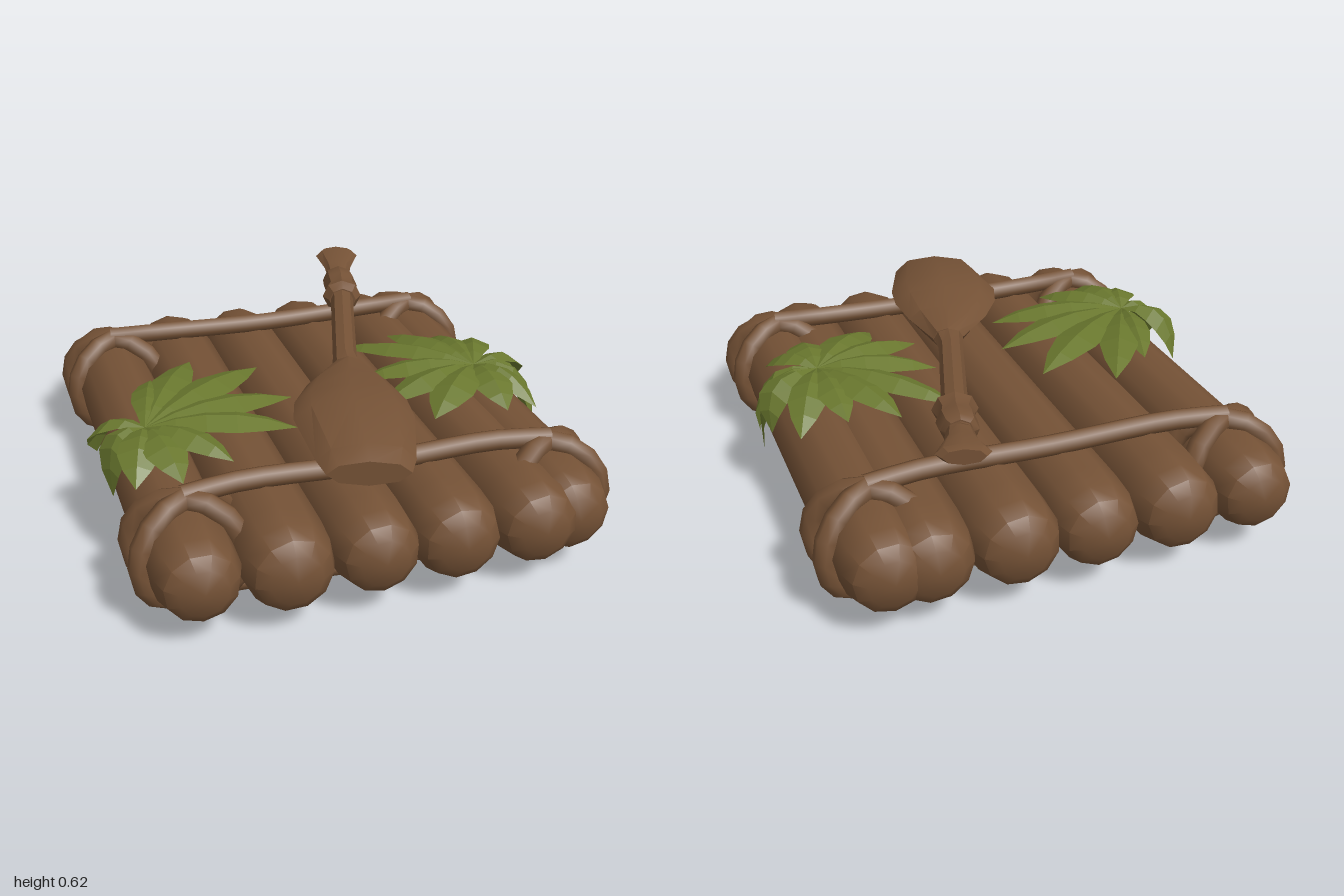
import * as THREE from 'three';
import { toCreasedNormals } from 'three/addons/utils/BufferGeometryUtils.js';

const wood = new THREE.MeshStandardMaterial({ color: 0x755236 });
wood.name = 'brown wood';
const leafGreen = new THREE.MeshStandardMaterial({ color: 0x69772e, side: THREE.DoubleSide });
leafGreen.name = 'leaf green';

function add(parent, name, geometry, material) {
  const mesh = new THREE.Mesh(geometry, material);
  mesh.name = name;
  parent.add(mesh);
  return mesh;
}

function indexed(positions, index) {
  const g = new THREE.BufferGeometry();
  g.setAttribute('position', new THREE.Float32BufferAttribute(positions, 3));
  g.setIndex(index);
  return g;
}

// Log with softly rounded ends, lying along z
function logGeometry(radius, half) {
  const end = [[0, 0], [0.55, 0.012], [0.82, 0.045], [0.96, 0.11], [1, 0.22]];
  const lower = end.map(([r, d]) => new THREE.Vector2(r * radius, -half + d));
  const upper = end.map(([r, d]) => new THREE.Vector2(r * radius, half - d)).reverse();
  const g = new THREE.LatheGeometry([...lower, ...upper], 11);
  g.rotateX(Math.PI / 2);
  return toCreasedNormals(g, 0.62);
}

// Oval sections [x, y, z, halfWidth, halfHeight] joined from front to back
function loft(sections, sides) {
  const across = new THREE.Vector3(0.966, 0, 0.26);
  const pos = [], index = [];
  for (const [x, y, z, hw, hh] of sections) {
    for (let j = 0; j < sides; j++) {
      const a = (j / sides) * Math.PI * 2;
      const w = Math.cos(a) * hw;
      pos.push(x + across.x * w, y + Math.sin(a) * hh, z + across.z * w);
    }
  }
  const last = sections.length - 1;
  const front = pos.length / 3, back = front + 1;
  pos.push(...sections[0].slice(0, 3), ...sections[last].slice(0, 3));
  for (let j = 0; j < sides; j++) {
    const k = (j + 1) % sides;
    for (let i = 0; i < last; i++) {
      const a = i * sides + j, b = i * sides + k;
      index.push(a, a + sides, b, b, a + sides, b + sides);
    }
    index.push(front, j, k, back, last * sides + k, last * sides + j);
  }
  return toCreasedNormals(indexed(pos, index), 0.6);
}

// Folded leaflet that arches from the root to its tip
function leafletGeometry(root, tip, width) {
  const hangs = tip.y < 0.36;
  const control = root.clone().lerp(tip, 0.5).setY(0.54);
  if (hangs) control.set(tip.x * 1.03, 0.53, (root.z + tip.z) / 2);
  const curve = new THREE.QuadraticBezierCurve3(root, control, tip);
  const side = new THREE.Vector3(tip.z - root.z, 0, root.x - tip.x).normalize();
  const profile = [0.15, 0.55, 0.95, 1, 0.65, 0];
  const pos = [], index = [];
  profile.forEach((f, i) => {
    const p = curve.getPoint(i / (profile.length - 1));
    for (const s of [-1, 0, 1]) {
      const q = p.clone().addScaledVector(side, s * f * width);
      q.y -= Math.abs(s) * f * 0.028;
      pos.push(q.x, q.y, q.z);
    }
    if (i === 0) return;
    for (let s = 0; s < 2; s++) {
      const a = (i - 1) * 3 + s, b = a + 3;
      index.push(a, b, a + 1, a + 1, b, b + 1);
    }
  });
  const g = indexed(pos, index).toNonIndexed();
  g.computeVertexNormals();
  return g;
}

function leafCluster(name, rootAt, tips) {
  const cluster = new THREE.Group();
  cluster.name = name;
  const root = new THREE.Vector3(...rootAt);
  for (const [x, y, z, width] of tips) {
    add(cluster, 'leaflet', leafletGeometry(root, new THREE.Vector3(x, y, z), width), leafGreen);
  }
  return cluster;
}

export function createModel() {
  const raft = new THREE.Group();
  raft.name = 'raft';

  // Deck logs: x, radius, half length, z shift
  const logs = [
    [-0.66, 0.152, 0.975, 0], [-0.365, 0.162, 0.99, 0.005], [-0.065, 0.155, 0.99, 0],
    [0.22, 0.16, 0.99, 0], [0.51, 0.157, 0.985, 0], [0.655, 0.155, 0.965, -0.02],
  ];
  logs.forEach(([x, r, half, z], i) => {
    const log = add(raft, 'deckLog', logGeometry(r, half), wood);
    log.position.set(x, 0.235, z);
    log.rotation.z = i * 0.9;
  });

  // Crossed rope loops at each corner, joined by ropes above and below the deck
  for (const [z, topZ] of [[0.665, 0.635], [-0.675, -0.65]]) {
    for (const x of [-0.65, 0.65]) {
      for (const turn of [-0.47, 0.47]) {
        const loop = add(raft, 'cornerRopeLoop', new THREE.TorusGeometry(0.183, 0.041, 7, 16), wood);
        loop.position.set(x, 0.226, z);
        loop.rotation.y = turn;
        loop.scale.x = 1.06;
      }
    }
    const ropes = { topRope: [0.42, 0.425, topZ], bottomRope: [0.06, 0.055, z] };
    for (const [name, [endY, midY, ropeZ]] of Object.entries(ropes)) {
      const path = new THREE.CatmullRomCurve3([
        new THREE.Vector3(-0.66, endY, z), new THREE.Vector3(-0.45, midY, ropeZ),
        new THREE.Vector3(0, midY - 0.01, ropeZ + 0.005), new THREE.Vector3(0.45, midY, ropeZ),
        new THREE.Vector3(0.66, endY, z),
      ]);
      add(raft, name, new THREE.TubeGeometry(path, 14, 0.037, 7), wood);
    }
  }

  // Paddle resting diagonally on the deck
  const paddle = new THREE.Group();
  paddle.name = 'paddle';
  raft.add(paddle);
  add(paddle, 'paddleBlade', loft([
    [-0.075, 0.49, 0.83, 0.14, 0.045], [-0.06, 0.5, 0.76, 0.165, 0.065],
    [-0.01, 0.518, 0.5, 0.21, 0.074], [0.02, 0.52, 0.38, 0.2, 0.07],
    [0.06, 0.518, 0.24, 0.15, 0.055], [0.115, 0.51, 0.08, 0.055, 0.042],
  ], 8), wood);
  add(paddle, 'paddleShaft', loft([
    [0.105, 0.51, 0.11, 0.06, 0.042], [0.13, 0.51, 0, 0.046, 0.038],
    [0.29, 0.545, -0.5, 0.046, 0.042], [0.34, 0.565, -0.7, 0.04, 0.035],
  ], 8), wood);
  add(paddle, 'paddleBinding', loft([
    [0.287, 0.54, -0.48, 0.055, 0.05], [0.295, 0.545, -0.515, 0.08, 0.067],
    [0.31, 0.548, -0.565, 0.062, 0.058], [0.322, 0.55, -0.61, 0.07, 0.066],
    [0.332, 0.555, -0.67, 0.065, 0.062], [0.337, 0.56, -0.69, 0.045, 0.045],
  ], 8), wood);
  add(paddle, 'paddleGrip', loft([
    [0.337, 0.56, -0.68, 0.045, 0.036], [0.36, 0.572, -0.76, 0.055, 0.032],
    [0.39, 0.59, -0.865, 0.09, 0.035], [0.397, 0.593, -0.895, 0.07, 0.028],
  ], 8), wood);

  // Leaf clusters: tip x, y, z, half width
  raft.add(leafCluster('rightLeaves', [-0.69, 0.45, 0.22], [
    [-0.41, 0.43, -0.31, 0.075], [-0.59, 0.43, -0.19, 0.06], [-0.17, 0.43, -0.18, 0.085],
    [-0.11, 0.42, 0.09, 0.085], [-0.16, 0.42, 0.33, 0.085], [-0.44, 0.42, 0.5, 0.07],
    [-0.63, 0.4, 0.56, 0.075], [-0.78, 0.37, 0.5, 0.075], [-0.83, 0.24, 0.3, 0.07],
    [-0.84, 0.28, 0.03, 0.075],
  ]));
  raft.add(leafCluster('leftLeaves', [0.62, 0.46, 0.11], [
    [0.2, 0.42, -0.28, 0.07], [0.42, 0.43, -0.31, 0.07], [0.6, 0.42, -0.26, 0.065],
    [0.77, 0.38, -0.25, 0.07], [0.83, 0.3, -0.03, 0.07], [0.84, 0.16, 0.12, 0.075],
    [0.83, 0.17, 0.24, 0.065], [0.77, 0.37, 0.36, 0.06], [0.62, 0.41, 0.42, 0.075],
    [0.33, 0.42, 0.42, 0.085], [0.19, 0.42, 0.26, 0.075], [0.18, 0.42, 0.03, 0.075],
  ]));

  return raft;
}
